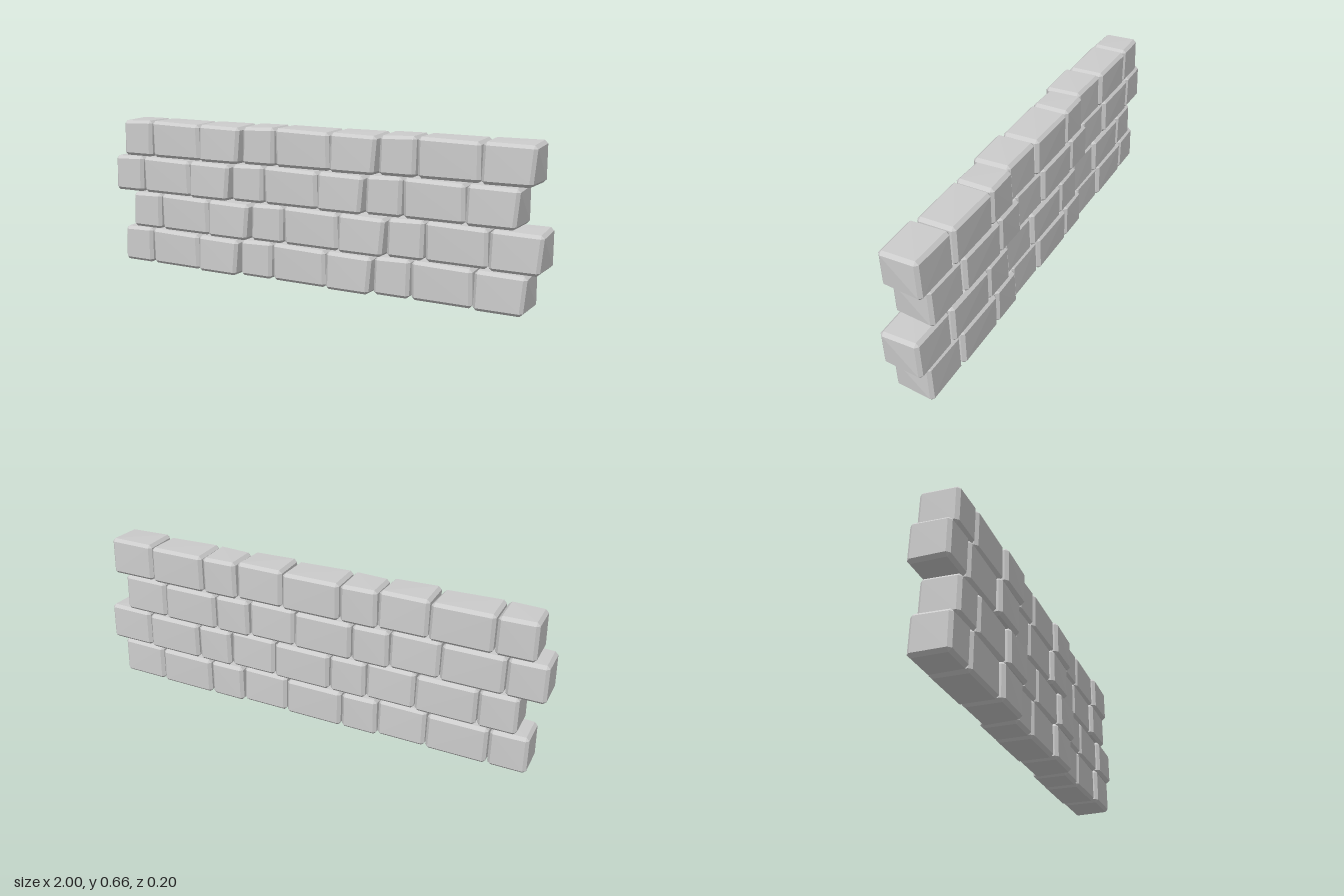
import * as THREE from 'three';
import { ConvexGeometry } from 'three/addons/geometries/ConvexGeometry.js';

const H = 0.163, ROW_STEP = 0.165, REPEAT = 0.633, DRIFT = -0.01, BEVEL = 0.013;
const ROW_SHIFT = [-0.016, 0.04, -0.056, 0];

// Three hewn bricks that repeat along every row. Each nudge moves one
// corner: [side x, side y, side z, dx, dy, dz].
const BRICKS = [
  { name: 'shortBrick', x: [-0.945, -0.787], z: [-0.08, 0.08],
    nudges: [[-1, 1, 1, 0.004, -0.004, 0], [1, -1, 1, -0.003, 0, 0], [-1, 1, -1, 0.003, 0, 0.003]] },
  { name: 'longBrick', x: [-0.781, -0.526], z: [-0.082, 0.082],
    nudges: [[1, 1, 1, -0.004, -0.006, 0], [1, 1, -1, -0.002, -0.002, 0.003], [-1, -1, 1, 0.002, 0, -0.002]] },
  { name: 'skewedBrick', x: [-0.52, -0.312], z: [-0.076, 0.096],
    nudges: [[1, -1, 1, -0.012, 0, 0], [1, 1, 1, -0.002, -0.006, -0.004],
      [-1, 1, 1, 0.003, -0.002, -0.002], [1, 1, -1, 0, 0, 0.006], [-1, 1, -1, 0, 0, 0.004]] },
];

// Chamfered block: every corner is cut into three points
function brickGeometry({ x, z, nudges }) {
  const half = [(x[1] - x[0]) / 2, H / 2, (z[1] - z[0]) / 2];
  const points = [];
  for (const sx of [-1, 1]) for (const sy of [-1, 1]) for (const sz of [-1, 1]) {
    const s = [sx, sy, sz];
    const nudge = nudges.find((n) => n[0] === sx && n[1] === sy && n[2] === sz);
    for (let axis = 0; axis < 3; axis++) {
      const p = s.map((sign, i) =>
        sign * (half[i] - (i === axis ? 0 : BEVEL)) + (nudge ? nudge[3 + i] : 0));
      points.push(new THREE.Vector3(...p));
    }
  }
  return new ConvexGeometry(points);
}

export function createModel() {
  const wall = new THREE.Group();
  wall.name = 'brickWall';
  const stone = new THREE.MeshStandardMaterial({ color: 0xcccccc, flatShading: true });
  const geometries = BRICKS.map(brickGeometry);

  // Four staggered rows, each with three repeats of the brick trio
  ROW_SHIFT.forEach((shift, row) => {
    const course = new THREE.Group();
    course.name = `row${row + 1}`;
    course.position.set(shift, row * ROW_STEP + H / 2, 0);
    for (let k = 0; k < 3; k++) {
      BRICKS.forEach((b, i) => {
        const brick = new THREE.Mesh(geometries[i], stone);
        brick.name = b.name;
        brick.position.set((b.x[0] + b.x[1]) / 2 + k * REPEAT, 0, (b.z[0] + b.z[1]) / 2 + k * DRIFT);
        course.add(brick);
      });
    }
    wall.add(course);
  });
  return wall;
}
